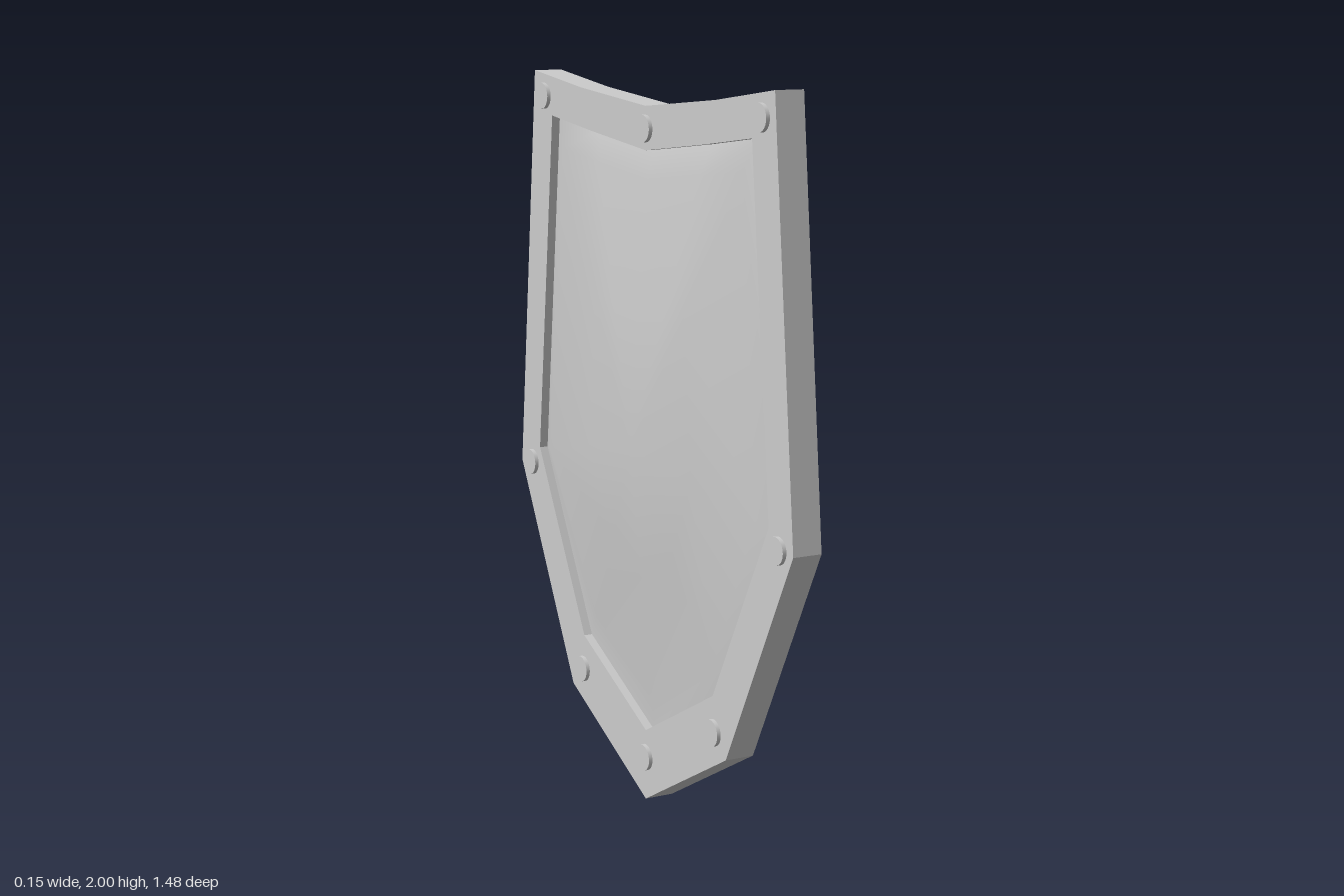
import * as THREE from 'three';

const material = new THREE.MeshStandardMaterial({ color: 0xcccccc });

// Half outlines as [z, y], from top centre down to the bottom tip
const OUTER = [[0, 1.93], [0.36, 1.963], [0.637, 2], [0.74, 0.845], [0.425, 0.23], [0, 0]];
const INNER = [[0, 1.812], [0.3, 1.846], [0.533, 1.876], [0.625, 0.9], [0.357, 0.39], [0, 0.2]];
const STUDS = [[0, 1.87], [0.578, 1.93], [0.672, 0.85], [0.362, 0.29], [0, 0.122]];

const BACK = -0.025, FRONT = 0.06; // rim faces along x
const HEAD = 0.011; // how far rivets stand proud

// Mirror a half outline into a closed loop
const mirrorLoop = half => [...half, ...half.slice(1, -1).reverse().map(([z, y]) => [-z, y])];
const toPoints = half => mirrorLoop(half).map(([z, y]) => new THREE.Vector2(z, y));

function add(group, name, geometry) {
  const mesh = new THREE.Mesh(geometry, material);
  mesh.name = name;
  group.add(mesh);
  return mesh;
}

// Shallow boss rising to a central peak, with a steeper band near its upper and side edges
function bossGeometry() {
  const loop = mirrorLoop(INNER), n = loop.length;
  const peakY = 1, pos = [], index = [];
  // Each ring: scale about the peak, then x at the bottom, side and top corners
  const rings = [[1, 0, 0, 0], [0.9, -0.004, -0.025, -0.02], [0.45, -0.038, -0.05, -0.048]];
  for (const [t, bottom, side, top] of rings) {
    for (const [z, y] of loop) {
      pos.push(y < 0.5 ? bottom : y < 1 ? side : top, peakY + (y - peakY) * t, z * t);
    }
  }
  pos.push(-0.075, peakY, 0);
  for (let i = 0; i < n; i++) {
    const j = (i + 1) % n;
    for (let r = 0; r < 2; r++) {
      const a = r * n + i, b = r * n + j;
      index.push(a, a + n, b, b, a + n, b + n);
    }
    index.push(2 * n + i, 3 * n, 2 * n + j);
  }
  const geometry = new THREE.BufferGeometry();
  geometry.setAttribute('position', new THREE.Float32BufferAttribute(pos, 3));
  geometry.setIndex(index);
  geometry.computeVertexNormals();
  return geometry;
}

export function createModel() {
  const shield = new THREE.Group();
  shield.name = 'shield';

  // Raised rim; the opening winds opposite to the outline
  const rimShape = new THREE.Shape(toPoints(OUTER));
  rimShape.holes.push(new THREE.Path(toPoints(INNER).reverse()));
  const rimGeometry = new THREE.ExtrudeGeometry(rimShape, { depth: FRONT - BACK, bevelEnabled: false });
  rimGeometry.rotateY(-Math.PI / 2).translate(FRONT, 0, 0);
  add(shield, 'rim', rimGeometry);

  // Flat recessed panel on one face, shallow boss on the other
  const panel = new THREE.ShapeGeometry(new THREE.Shape(toPoints(INNER)));
  panel.rotateY(Math.PI / 2).translate(0.025, 0, 0);
  add(shield, 'flatPanel', panel);
  add(shield, 'boss', bossGeometry());

  // Rivets through the rim, with flat heads on both faces
  const rivet = new THREE.CylinderGeometry(0.037, 0.037, FRONT - BACK + 2 * HEAD, 24);
  rivet.rotateZ(-Math.PI / 2).translate((FRONT + BACK) / 2, 0, 0);
  const rivets = new THREE.Group();
  rivets.name = 'rivets';
  for (const [z, y] of mirrorLoop(STUDS)) add(rivets, 'rivet', rivet).position.set(0, y, z);
  shield.add(rivets);

  return shield;
}
